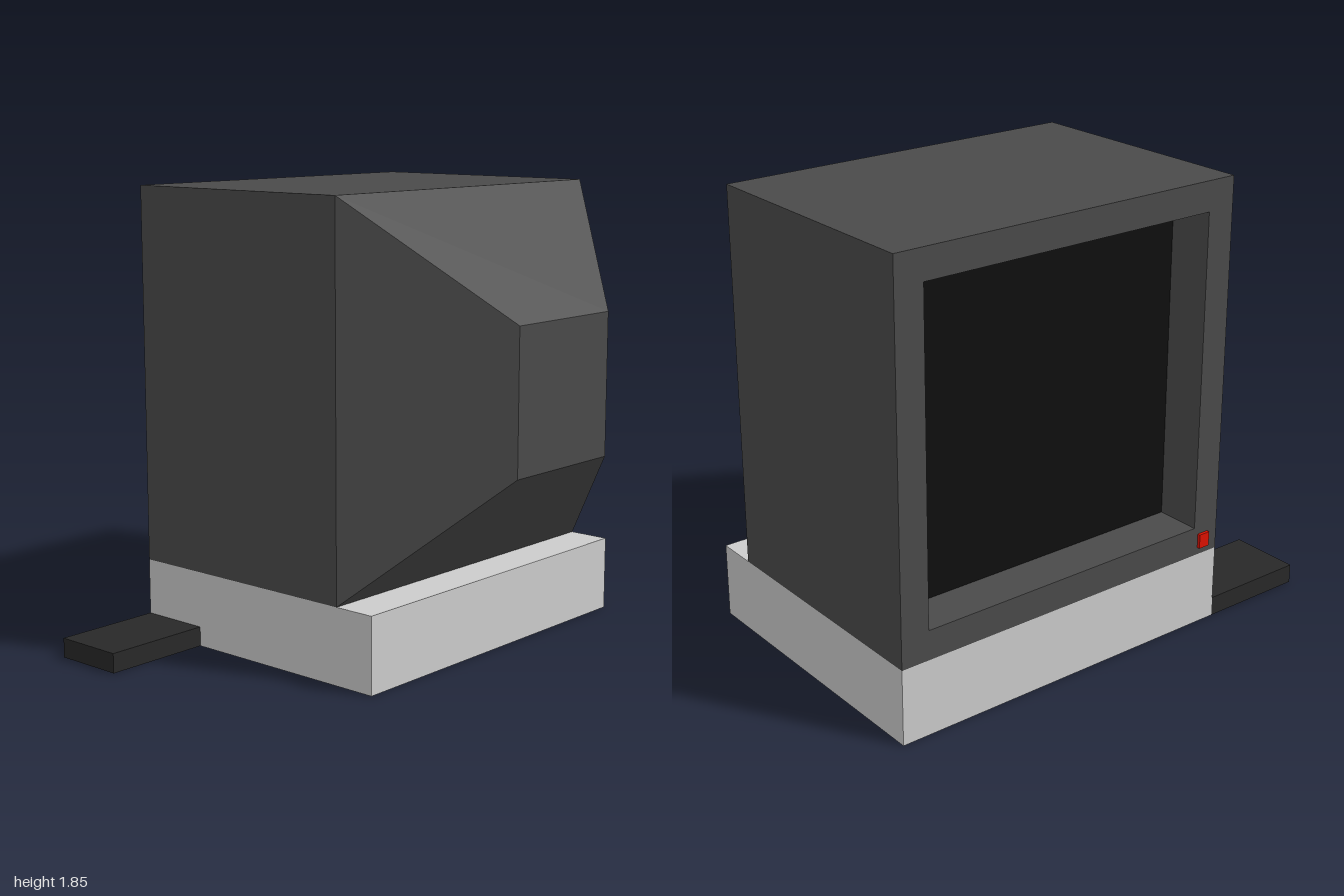
import * as THREE from 'three';

const material = (color) => new THREE.MeshStandardMaterial({ color, flatShading: true });

// Box given by its extents along each axis
function box(name, [x0, x1], [y0, y1], [z0, z1], mat) {
  const mesh = new THREE.Mesh(new THREE.BoxGeometry(x1 - x0, y1 - y0, z1 - z0), mat);
  mesh.name = name;
  mesh.position.set((x0 + x1) / 2, (y0 + y1) / 2, (z0 + z1) / 2);
  return mesh;
}

// Square shell along z, from a profile of [half width, z] pairs
function squareShell(profile) {
  const points = profile.map(([half, z]) => new THREE.Vector2(half * Math.SQRT2, z));
  const geometry = new THREE.LatheGeometry(points, 4)
    .rotateY(Math.PI / 4)
    .rotateX(Math.PI / 2)
    .toNonIndexed();
  geometry.computeVertexNormals();
  return geometry;
}

export function createModel() {
  const model = new THREE.Group();
  model.name = 'monitor';
  const cx = 0.23, cy = 1.08;

  // Casing: screen recess, bezel, straight sides, tapered tube housing, end cap
  const casing = new THREE.Mesh(
    squareShell([
      [0.65, -0.57], [0.65, -0.76], [0.77, -0.76],
      [0.77, 0.29], [0.29, 0.77], [0, 0.77],
    ]),
    material(0x4a4a4a)
  );
  casing.name = 'casing';
  casing.position.set(cx, cy, 0);
  model.add(casing);

  // Dark screen at the bottom of the recess
  model.add(box('screen', [cx - 0.65, cx + 0.65], [cy - 0.65, cy + 0.65], [-0.57, -0.55], material(0x0e0e0e)));

  // Base block, side tray and power light
  model.add(box('base', [-0.54, 1], [0, 0.31], [-0.76, 0.465], material(0xcccccc)));
  model.add(box('sideTray', [-1, -0.54], [0, 0.08], [-0.76, -0.46], material(0x282828)));
  model.add(box('powerLight', [-0.49, -0.44], [0.34, 0.4], [-0.773, -0.75], material(0xdd1100)));

  return model;
}
